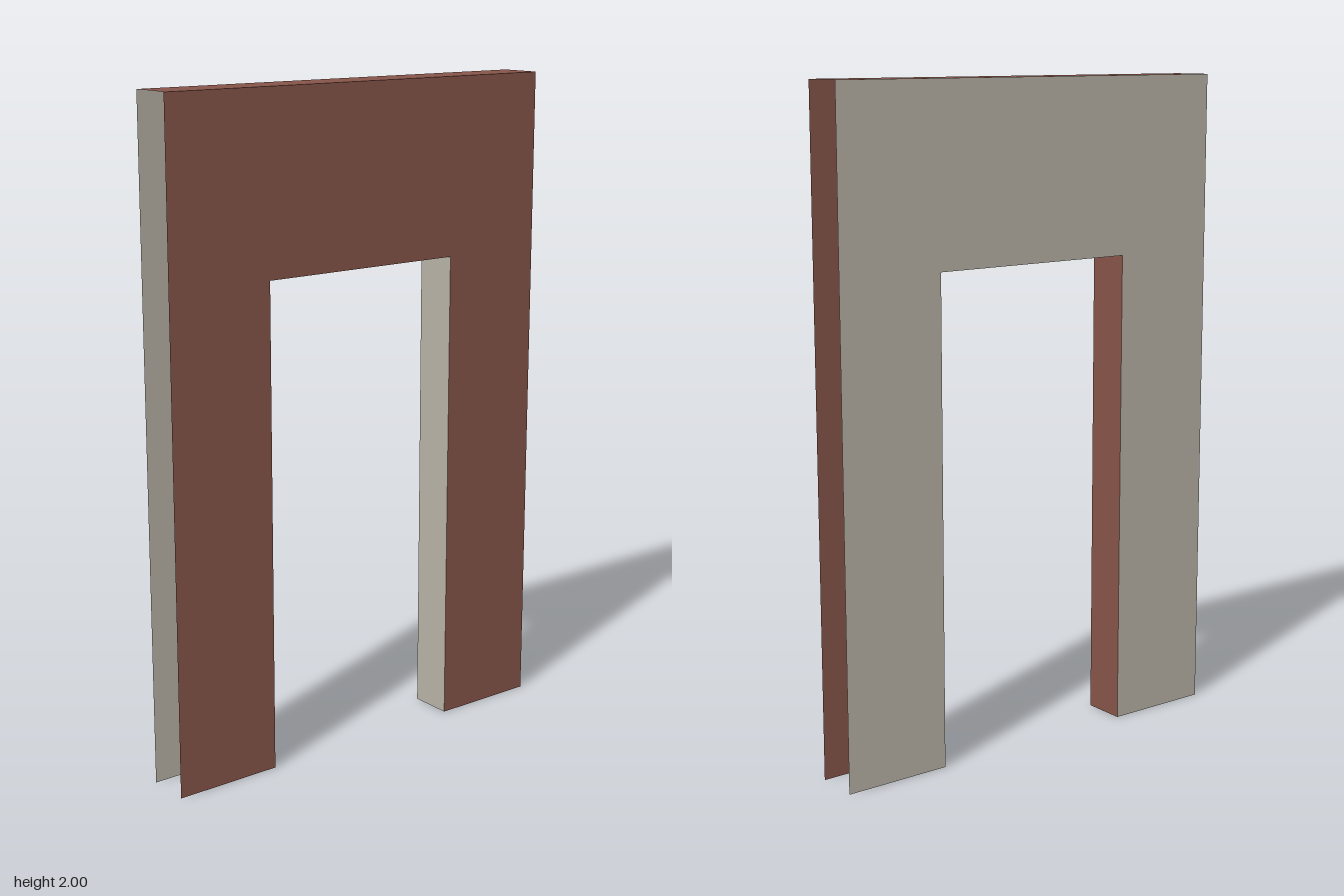
import * as THREE from 'three';

const HALF_WIDTH = 0.667, HEIGHT = 2;
const HALF_OPENING = 0.333, OPENING_HEIGHT = 1.467;
const DEPTH = 0.133;

export function createModel() {
  const model = new THREE.Group();
  model.name = 'doorwayWall';

  const brown = new THREE.MeshStandardMaterial({ color: 0x865449, side: THREE.DoubleSide });
  brown.name = 'brickBrown';
  const grey = new THREE.MeshStandardMaterial({ color: 0xb8b2a7, side: THREE.DoubleSide });
  grey.name = 'plasterGrey';

  const add = (name, geometry, material, position, rotation = [0, 0, 0]) => {
    const mesh = new THREE.Mesh(geometry, material);
    mesh.name = name;
    mesh.position.set(...position);
    mesh.rotation.set(...rotation);
    model.add(mesh);
  };

  // Wall outline with the doorway cut out of the bottom edge
  const outline = new THREE.Shape([
    [-HALF_WIDTH, 0], [-HALF_OPENING, 0],
    [-HALF_OPENING, OPENING_HEIGHT], [HALF_OPENING, OPENING_HEIGHT],
    [HALF_OPENING, 0], [HALF_WIDTH, 0],
    [HALF_WIDTH, HEIGHT], [-HALF_WIDTH, HEIGHT],
  ].map(([x, y]) => new THREE.Vector2(x, y)));
  const face = new THREE.ShapeGeometry(outline);
  add('frontFace', face, brown, [0, 0, DEPTH / 2]);
  add('backFace', face, grey, [0, 0, -DEPTH / 2], [0, Math.PI, 0]);

  // Top and doorway soffit; the outer ends and the feet stay open
  add('top', new THREE.PlaneGeometry(2 * HALF_WIDTH, DEPTH), brown,
    [0, HEIGHT, 0], [-Math.PI / 2, 0, 0]);
  add('soffit', new THREE.PlaneGeometry(2 * HALF_OPENING, DEPTH), brown,
    [0, OPENING_HEIGHT, 0], [Math.PI / 2, 0, 0]);

  // Door jambs, each facing into the opening
  const jamb = new THREE.PlaneGeometry(DEPTH, OPENING_HEIGHT);
  add('rightJamb', jamb, brown, [-HALF_OPENING, OPENING_HEIGHT / 2, 0], [0, Math.PI / 2, 0]);
  add('leftJamb', jamb, grey, [HALF_OPENING, OPENING_HEIGHT / 2, 0], [0, -Math.PI / 2, 0]);

  return model;
}
